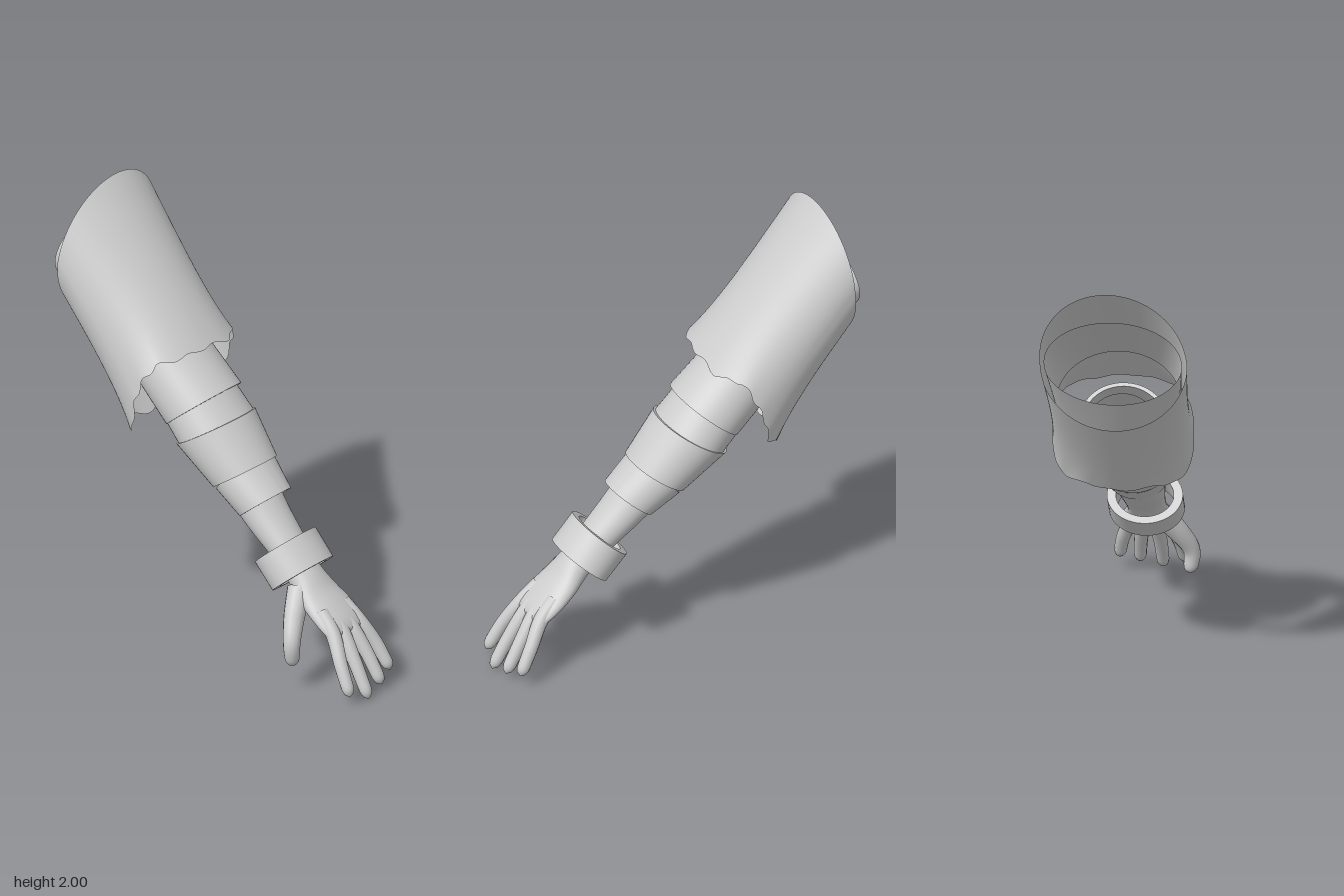
import * as THREE from 'three';
import { mergeVertices, toCreasedNormals } from 'three/addons/utils/BufferGeometryUtils.js';

const material = new THREE.MeshStandardMaterial({ color: 0xcccccc, side: THREE.DoubleSide });

// Smooth surface from a rule: fn(u, angle) gives a point, angle runs top -> +z -> bottom -> -z
function surface(fn, rows, cols = 48) {
  const pos = [], index = [];
  for (let i = 0; i <= rows; i++)
    for (let j = 0; j < cols; j++) pos.push(...fn(i / rows, (j / cols) * Math.PI * 2));
  for (let i = 0; i < rows; i++)
    for (let j = 0; j < cols; j++) {
      const a = i * cols + j, b = i * cols + (j + 1) % cols;
      index.push(a, b, a + cols, b, b + cols, a + cols);
    }
  const geo = new THREE.BufferGeometry();
  geo.setAttribute('position', new THREE.Float32BufferAttribute(pos, 3));
  geo.setIndex(index);
  geo.computeVertexNormals();
  return geo;
}

// Cross-section: [topX, topY, bottomX, bottomY, centreZ, halfWidth]
function onSection([tx, ty, bx, by, z, w], angle, scale = 1) {
  const c = Math.cos(angle) * scale / 2, s = Math.sin(angle) * scale;
  return [(tx + bx) / 2 + (tx - bx) * c, (ty + by) / 2 + (ty - by) * c, z + w * s];
}

// Blend linearly or by spline between listed sections
function sectionAt(sections, u, smooth) {
  const f = u * (sections.length - 1), i = Math.min(Math.floor(f), sections.length - 2), t = f - i;
  const at = (k) => sections[Math.max(0, Math.min(sections.length - 1, k))];
  return at(i).map((p1, k) => {
    const p2 = at(i + 1)[k];
    if (!smooth) return p1 + (p2 - p1) * t;
    const m1 = (p2 - at(i - 1)[k]) / 2, m2 = (at(i + 2)[k] - p1) / 2;
    return p1 + m1 * t + (3 * (p2 - p1) - 2 * m1 - m2) * t * t + (2 * (p1 - p2) + m1 + m2) * t * t * t;
  });
}

function add(group, name, geo) {
  const mesh = new THREE.Mesh(geo, material);
  mesh.name = name;
  group.add(mesh);
  return mesh;
}

// Thick open-ended cuff between two sections
function cuff(start, end, thickness = 0.9) {
  const loop = [[start, thickness], [start, 1], [end, 1], [end, thickness], [start, thickness]];
  const geo = surface((u, a) => {
    const [section, scale] = loop[Math.round(u * 4)];
    return onSection(section, a, scale);
  }, 4);
  return toCreasedNormals(geo, 0.6);
}

// Tapered, round-tipped finger along a curve
function finger(points, r0, r1) {
  const curve = new THREE.CatmullRomCurve3(points.map((p) => new THREE.Vector3(...p)));
  const rows = 28, cols = 14;
  const geo = new THREE.TubeGeometry(curve, rows, 1, cols, false);
  const pos = geo.attributes.position, v = new THREE.Vector3();
  for (let i = 0; i <= rows; i++) {
    const t = i / rows, centre = curve.getPointAt(t);
    const tip = t > 0.88 ? Math.sqrt(Math.max(0, 1 - ((t - 0.88) / 0.12) ** 2)) : 1;
    const r = (r0 + (r1 - r0) * t) * Math.max(tip, 0.02);
    for (let j = 0; j <= cols; j++) {
      const k = i * (cols + 1) + j;
      v.fromBufferAttribute(pos, k).sub(centre).multiplyScalar(r).add(centre);
      pos.setXYZ(k, v.x, v.y, v.z);
    }
  }
  geo.deleteAttribute('uv');
  geo.deleteAttribute('normal');
  const welded = mergeVertices(geo, 1e-5);
  welded.computeVertexNormals();
  return welded;
}

export function createModel() {
  const model = new THREE.Group();
  model.name = 'sleevedArm';

  // Wide sleeve with a torn, flared hem
  const rim = [-0.73, 2.0, -0.79, 1.38, 0, 0.32];
  const hem = [-0.17, 1.36, -0.48, 0.95, 0.005, 0.28];
  const tears = [0, -0.01, -0.05, -0.04, 0, 0.06, 0.05, -0.02, 0, -0.03, 0.03, 0.05, 0, -0.03, -0.05, 0.01];
  add(model, 'sleeve', surface((u, a) => {
    const f = (a / (Math.PI * 2)) * 16, i = Math.floor(f) % 16, t = f - Math.floor(f);
    const tear = tears[i] * (1 - t) + tears[(i + 1) % 16] * t + 0.008 * Math.sin(a * 15);
    const p = onSection(sectionAt([rim, hem], u), a);
    const late = u ** 4;
    p[0] += 0.7 * tear * late;
    p[1] -= 0.71 * tear * late;
    // Boxier, slightly flared sides towards the hem
    p[2] *= 1 + 0.1 * late + 0.3 * late * Math.cos(a) ** 2;
    p[2] -= 0.025 * Math.max(0, Math.cos(a)) * (1 - u);
    return p;
  }, 28, 128));

  // Inner lining peeking out of the shoulder opening
  const liningIn = [-0.36, 1.56, -0.62, 1.2, 0, 0.27];
  add(model, 'sleeveLining', surface((u, a) =>
    onSection(sectionAt([[-0.755, 1.88, -0.825, 1.52, 0, 0.3], liningIn], u), a), 8, 64));

  // Bare arm running down to the wrist
  const arm = [
    [-0.36, 1.36, -0.52, 1.18, 0.01, 0.14],
    [-0.08, 1.12, -0.26, 0.94, 0.015, 0.15],
    [0.12, 0.9, -0.03, 0.75, 0.025, 0.13],
    [0.26, 0.73, 0.13, 0.61, 0.035, 0.108],
    [0.37, 0.61, 0.26, 0.51, 0.04, 0.092],
    [0.41, 0.565, 0.305, 0.465, 0.045, 0.085],
  ];
  add(model, 'forearm', surface((u, a) => onSection(sectionAt(arm, u, true), a), 30));

  // Overlapping arm wraps, from the upper arm downwards
  const wraps = [
    [[-0.27, 1.37, -0.47, 1.11, 0.01, 0.19], [-0.065, 1.185, -0.32, 0.97, 0.01, 0.2]],
    [[-0.10, 1.19, -0.33, 0.98, 0.01, 0.185], [0.015, 1.07, -0.25, 0.9, 0.01, 0.195]],
    [[0.02, 1.085, -0.27, 0.9, 0.01, 0.2], [0.16, 0.91, -0.07, 0.75, 0.015, 0.165]],
    [[0.125, 0.93, -0.04, 0.735, 0.015, 0.16], [0.26, 0.8, 0.08, 0.65, 0.025, 0.135]],
  ];
  wraps.forEach(([start, end], i) => add(model, `armWrap${i + 1}`, cuff(start, end)));

  // Heavy bracelet
  add(model, 'bracelet', cuff(
    [0.4, 0.66, 0.2, 0.48, 0.045, 0.165], [0.5, 0.55, 0.3, 0.375, 0.045, 0.165], 0.76));

  // Palm
  const hand = new THREE.Group();
  hand.name = 'hand';
  model.add(hand);
  const palm = [
    [0.4, 0.57, 0.3, 0.47, 0.045, 0.085],
    [0.47, 0.5, 0.38, 0.4, 0.045, 0.088],
    [0.53, 0.43, 0.45, 0.345, 0.042, 0.11],
    [0.59, 0.375, 0.53, 0.295, 0.038, 0.124],
    [0.645, 0.32, 0.6, 0.255, 0.038, 0.122],
    [0.668, 0.28, 0.64, 0.24, 0.038, 0.105],
    [0.657, 0.26, 0.655, 0.258, 0.038, 0.01],
  ];
  add(hand, 'palm', surface((u, a) => onSection(sectionAt(palm, u, true), a), 30));

  // Four fingers: [knuckle z, tip x, tip y, tip z]
  const fingers = [
    ['indexFinger', 0.125, 0.785, 0.04, 0.18],
    ['middleFinger', 0.068, 0.808, 0.002, 0.083],
    ['ringFinger', 0.008, 0.795, 0.03, -0.018],
    ['littleFinger', -0.05, 0.77, 0.06, -0.105],
  ];
  for (const [name, z, tx, ty, tz] of fingers)
    add(hand, name, finger([
      [0.56, 0.35, z * 0.8 + 0.01], [0.64, 0.275, z],
      [0.64 + (tx - 0.64) * 0.5, 0.275 + (ty - 0.275) * 0.46, z + (tz - z) * 0.62], [tx, ty, tz],
    ], 0.036, 0.027));

  // Thumb
  add(hand, 'thumb', finger([
    [0.43, 0.42, 0.1], [0.465, 0.32, 0.18], [0.496, 0.22, 0.232], [0.492, 0.115, 0.222],
  ], 0.056, 0.03));

  return model;
}
